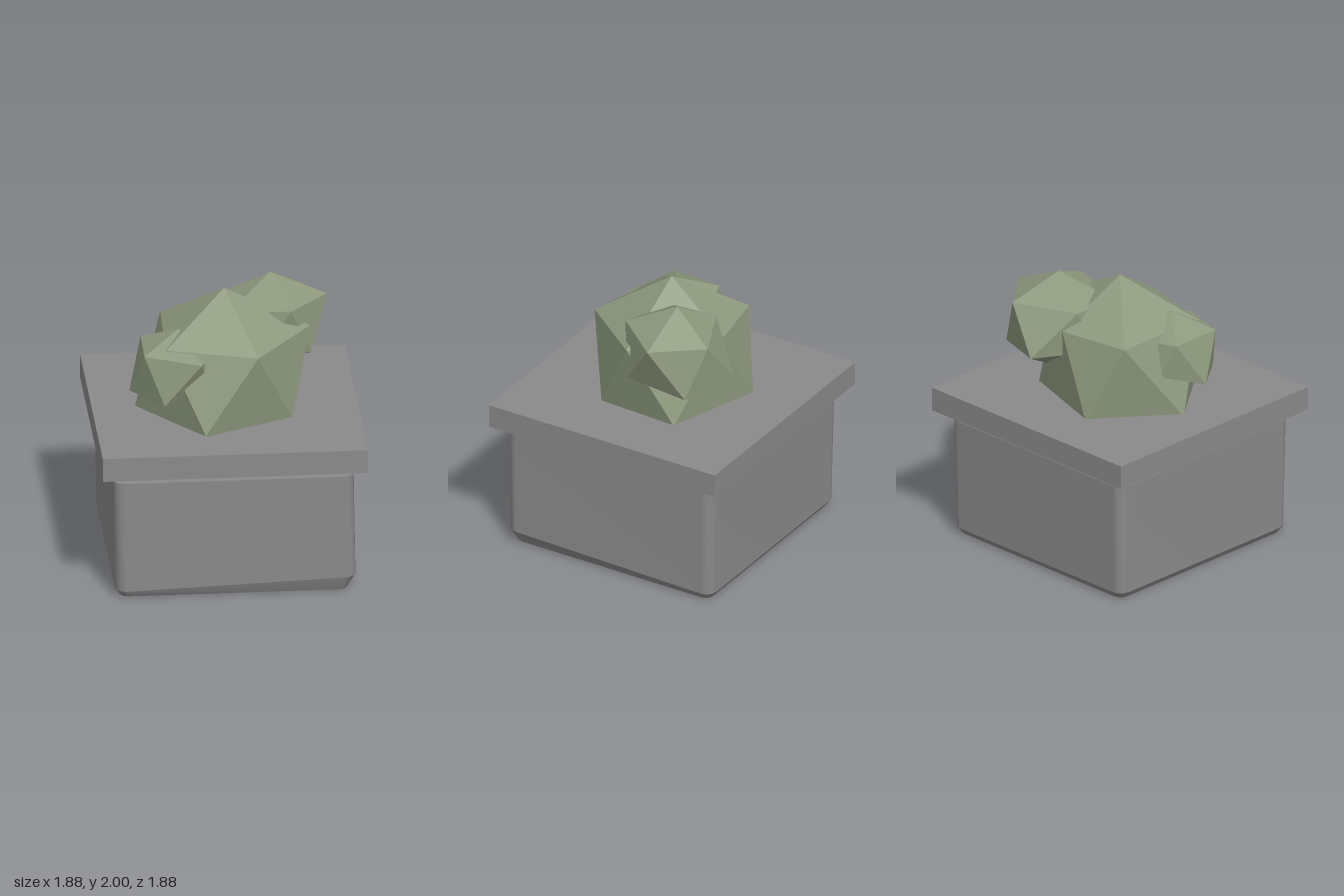
import * as THREE from 'three';

const stone = new THREE.MeshStandardMaterial({ color: 0x8a8a8a, side: THREE.DoubleSide });
stone.name = 'grey stone';
const leaf = new THREE.MeshStandardMaterial({ color: 0x8d997e, flatShading: true });
leaf.name = 'sage leaf';

function geometryFrom(points, index) {
  const g = new THREE.BufferGeometry();
  g.setAttribute('position', new THREE.Float32BufferAttribute(points.flat(), 3));
  if (index) g.setIndex(index);
  g.computeVertexNormals();
  return g;
}

// Irregular icosahedron: apex, two staggered rings of five, lowest point.
// Rings run from +x towards +z; lower[i] sits between upper[i] and upper[i + 1].
function bush(name, apex, upper, lower, base) {
  const tris = [];
  for (let i = 0; i < 5; i++) {
    const j = (i + 1) % 5;
    tris.push(apex, upper[j], upper[i]);
    tris.push(upper[i], upper[j], lower[i]);
    tris.push(upper[j], lower[j], lower[i]);
    tris.push(base, lower[i], lower[j]);
  }
  const mesh = new THREE.Mesh(geometryFrom(tris), leaf);
  mesh.name = name;
  return mesh;
}

// Rounded square outline at one height, four points per corner
function ring(y, half, radius) {
  const pts = [];
  for (let c = 0; c < 4; c++) {
    const mid = Math.PI / 4 + c * Math.PI / 2;
    const cx = Math.sign(Math.cos(mid)) * (half - radius);
    const cz = Math.sign(Math.sin(mid)) * (half - radius);
    for (let k = 0; k < 4; k++) {
      const a = c * Math.PI / 2 + k * Math.PI / 6;
      pts.push([cx + radius * Math.cos(a), y, cz + radius * Math.sin(a)]);
    }
  }
  return pts;
}

// Wall strip between two outlines
function band(name, top, bottom) {
  const n = top.length, index = [];
  for (let i = 0; i < n; i++) {
    const j = (i + 1) % n;
    index.push(i, j, n + i, j, n + j, n + i);
  }
  const mesh = new THREE.Mesh(geometryFrom([...top, ...bottom], index), stone);
  mesh.name = name;
  return mesh;
}

export function createModel() {
  const model = new THREE.Group();
  model.name = 'shrub in planter';

  // Planter: slightly tapered shell, open underneath, with a bevelled lower edge
  const planter = new THREE.Group();
  planter.name = 'planter';
  const top = ring(0.885, 0.853, 0.08);
  const foot = ring(0.05, 0.84, 0.08);
  const bottom = ring(0, 0.805, 0.06);
  // The bevel on the left side rises and flares towards the front
  for (const p of foot) {
    if (p[0] > 0.75) {
      const t = (p[2] + 0.84) / 1.6;
      p[1] += 0.055 * Math.min(1, Math.max(0, t));
      p[0] += 0.027 * Math.min(1, Math.max(0, t));
    }
  }
  planter.add(band('planterWalls', top, foot), band('planterBevel', foot, bottom));
  const capIndex = [];
  for (let i = 1; i < top.length - 1; i++) capIndex.push(0, i + 1, i);
  const cap = new THREE.Mesh(geometryFrom(top, capIndex), stone);
  cap.name = 'planterTop';
  planter.add(cap);
  model.add(planter);

  // Overhanging slab
  const slab = new THREE.Mesh(new THREE.BoxGeometry(1.88, 0.175, 1.88), stone);
  slab.name = 'slab';
  slab.position.y = 1.0325;
  model.add(slab);

  // Foliage
  model.add(
    bush('mainBush', [0, 2, 0],
      [[0.61, 1.69, 0], [0.2, 1.67, 0.52], [-0.44, 1.68, 0.34], [-0.42, 1.67, -0.38], [0.1, 1.68, -0.48]],
      [[0.46, 1.11, 0.3], [-0.18, 1.125, 0.605], [-0.635, 1.1, 0], [-0.2, 1.11, -0.55], [0.49, 1.11, -0.32]],
      [-0.02, 0.8, 0]),
    bush('leftBush', [0.35, 2, -0.26],
      [[0.75, 1.82, -0.26], [0.47, 1.84, 0.095], [0.04, 1.8, -0.03], [0.035, 1.81, -0.39], [0.48, 1.82, -0.595]],
      [[0.62, 1.48, -0.01], [0.23, 1.49, 0.08], [-0.02, 1.49, -0.26], [0.23, 1.485, -0.665], [0.635, 1.45, -0.5]],
      [0.39, 1.29, -0.33]),
    bush('rightBush', [-0.34, 1.77, 0.17],
      [[-0.05, 1.62, 0.17], [-0.2, 1.62, 0.5], [-0.595, 1.645, 0.36], [-0.59, 1.64, -0.03], [-0.27, 1.62, -0.12]],
      [[-0.12, 1.38, 0.35], [-0.46, 1.305, 0.47], [-0.685, 1.31, 0.17], [-0.51, 1.4, -0.11], [-0.12, 1.38, 0]],
      [-0.4, 1.245, 0.2]),
  );
  return model;
}
